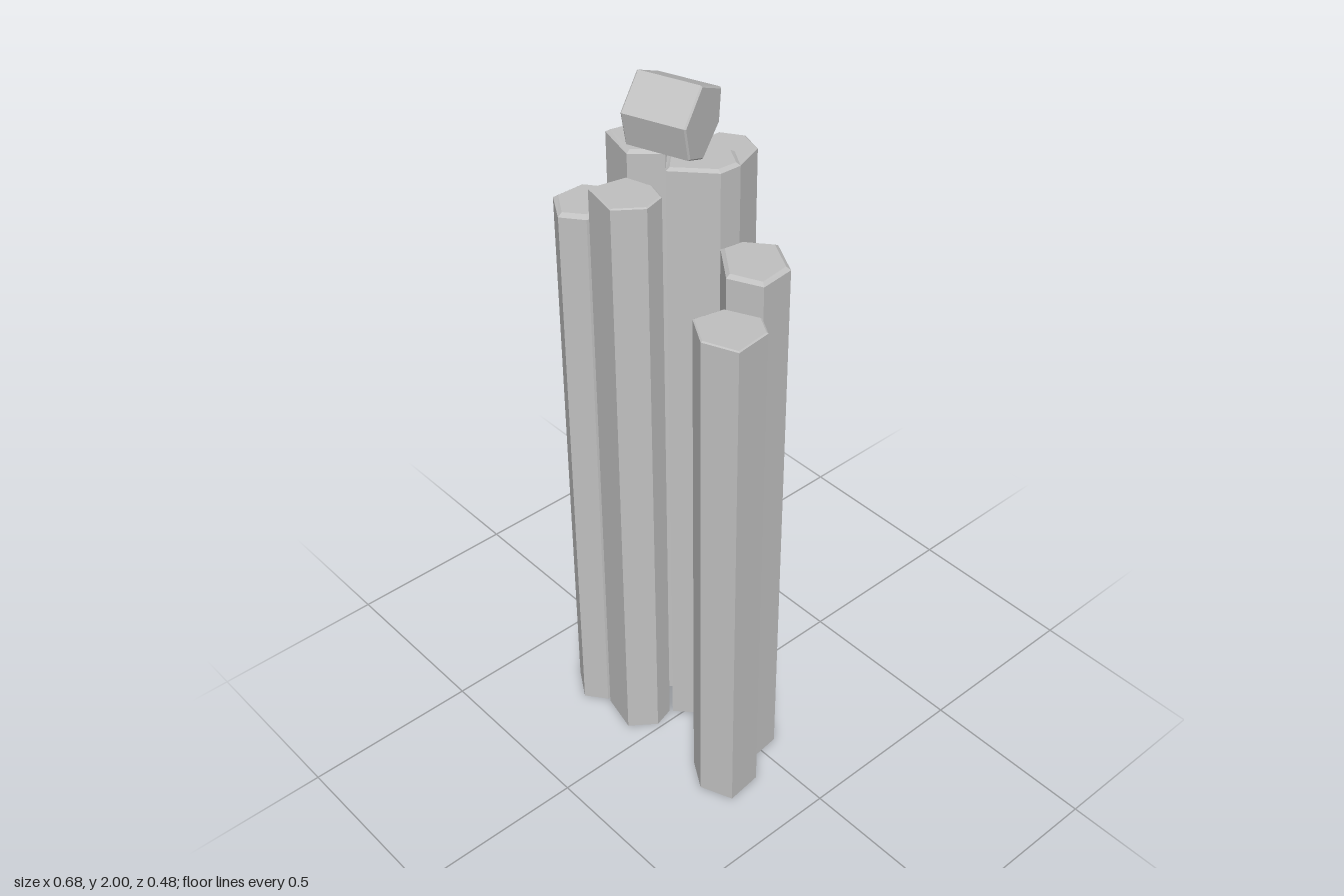
import * as THREE from 'three';

// Footprints as [x, z] corners, with top height and width of the worn rim
const COLUMNS = [
  { name: 'backRightColumn', top: 1.62, rim: 0.004, pts: [[-0.325, -0.207], [-0.242, -0.237], [-0.169, -0.207], [-0.171, -0.095], [-0.262, -0.047], [-0.338, -0.1]] },
  { name: 'backColumn', top: 1.745, rim: 0.004, pts: [[-0.16, -0.207], [-0.104, -0.243], [-0.037, -0.222], [0.007, -0.104], [-0.126, -0.065], [-0.163, -0.095]] },
  { name: 'middleColumn', top: 1.8, rim: 0.011, pts: [[-0.26, -0.04], [-0.167, -0.087], [-0.118, -0.05], [-0.098, 0.022], [-0.16, 0.09], [-0.279, 0.057]] },
  { name: 'tallColumn', top: 1.81, rim: 0.01, pts: [[-0.105, -0.056], [0.015, -0.096], [0.075, -0.06], [0.072, 0], [-0.023, 0.087], [-0.083, 0.03]] },
  { name: 'frontRightColumn', top: 1.65, rim: 0.012, pts: [[-0.326, 0.098], [-0.281, 0.065], [-0.169, 0.095], [-0.187, 0.197], [-0.243, 0.24], [-0.326, 0.19]] },
  { name: 'frontColumn', top: 1.735, rim: 0.004, pts: [[-0.157, 0.097], [-0.085, 0.075], [-0.03, 0.093], [-0.013, 0.153], [-0.065, 0.222], [-0.177, 0.197]] },
  { name: 'leftColumn', top: 1.61, rim: 0.011, pts: [[0.155, -0.111], [0.255, -0.057], [0.266, 0.04], [0.18, 0.08], [0.077, 0.004], [0.086, -0.055]] },
  { name: 'frontLeftColumn', top: 1.525, rim: 0.004, pts: [[0.27, 0.048], [0.325, 0.08], [0.337, 0.183], [0.247, 0.22], [0.165, 0.172], [0.183, 0.089]] },
];

// Upright prism with a chamfered top; corners run clockwise seen from above
function columnGeometry({ pts, top, rim }) {
  const n = pts.length;
  const cx = pts.reduce((s, p) => s + p[0], 0) / n;
  const cz = pts.reduce((s, p) => s + p[1], 0) / n;
  const ring = (y, inset) => pts.map(([x, z]) => {
    const k = 1 - inset / Math.hypot(x - cx, z - cz);
    return [cx + (x - cx) * k, y, cz + (z - cz) * k];
  });
  const rings = [ring(0, 0), ring(top - rim * 0.7, 0), ring(top, rim * 1.15)];
  const pos = [];
  const tri = (a, b, c) => pos.push(...a, ...b, ...c);
  for (let i = 0; i < n; i++) {
    const j = (i + 1) % n;
    for (let r = 0; r < 2; r++) {
      const [a, b] = [rings[r][i], rings[r][j]];
      const [c, d] = [rings[r + 1][j], rings[r + 1][i]];
      tri(a, c, b);
      tri(a, d, c);
    }
    tri([cx, top, cz], rings[2][j], rings[2][i]);
    tri([cx, 0, cz], rings[0][i], rings[0][j]);
  }
  const geo = new THREE.BufferGeometry();
  geo.setAttribute('position', new THREE.Float32BufferAttribute(pos, 3));
  geo.computeVertexNormals();
  return geo;
}

export function createModel() {
  const model = new THREE.Group();
  model.name = 'basaltColumns';
  const stone = new THREE.MeshStandardMaterial({ color: 0xc0c0c0, flatShading: true });
  stone.name = 'stone grey';

  for (const column of COLUMNS) {
    const mesh = new THREE.Mesh(columnGeometry(column), stone);
    mesh.name = column.name;
    model.add(mesh);
  }

  // Broken piece lying across the tallest columns
  const section = [[0, 2], [-0.08, 1.925], [-0.06, 1.835], [0.005, 1.808], [0.085, 1.87], [0.095, 1.955]];
  const bevel = 0.004;
  const geo = new THREE.ExtrudeGeometry(
    new THREE.Shape(section.map(([x, y]) => new THREE.Vector2(x, y))),
    { depth: 0.173 - 2 * bevel, bevelSize: bevel, bevelThickness: bevel, bevelOffset: -bevel, bevelSegments: 1 },
  );
  geo.translate(0, 0, -0.0865 + bevel);
  const block = new THREE.Mesh(geo, stone);
  block.name = 'fallenBlock';
  block.position.set(-0.078, 0, 0.025);
  block.rotation.y = Math.atan2(0.944, -0.33);
  model.add(block);

  return model;
}
